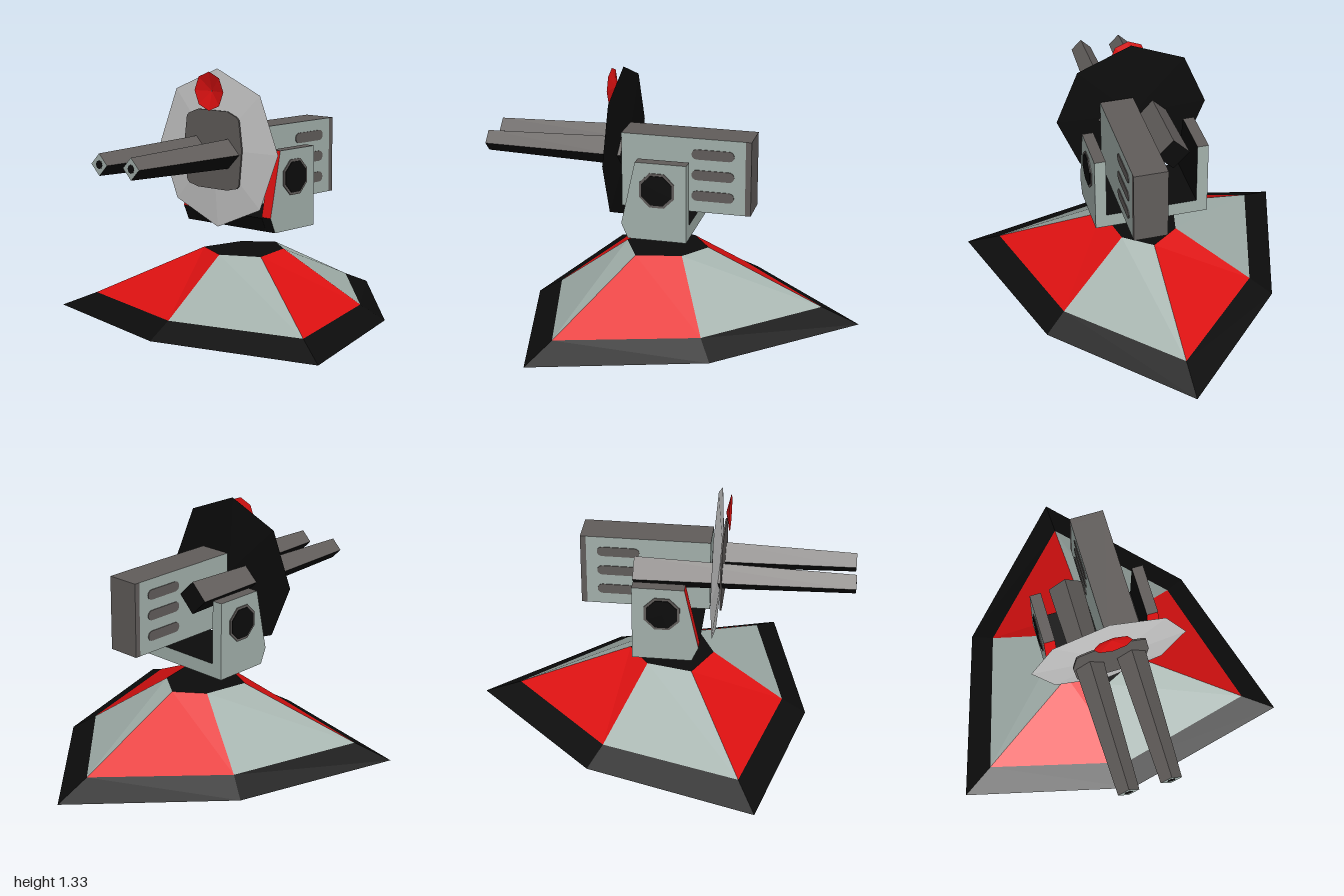
import * as THREE from 'three';

const mat = (name, color, flat = true) => {
  const m = new THREE.MeshStandardMaterial({ color, flatShading: flat, side: THREE.DoubleSide });
  m.name = name;
  return m;
};

export function createModel() {
  const red = mat('red paint', 0xe01111);
  const green = mat('grey green paint', 0xa3b1ac);
  const grey = mat('dark grey metal', 0x615d5b);
  const black = mat('black', 0x0c0c0c);
  const pale = mat('pale shield', 0xcccccc);
  const model = new THREE.Group();
  model.name = 'gunTurret';

  const group = (name) => {
    const g = new THREE.Group();
    g.name = name;
    model.add(g);
    return g;
  };
  const add = (parent, name, geometry, material) => {
    const m = new THREE.Mesh(geometry, material);
    m.name = name;
    parent.add(m);
    return m;
  };
  // Convex flat polygon, corners anticlockwise seen from its front
  const poly = (parent, name, pts, material) => {
    const v = [];
    for (let i = 1; i < pts.length - 1; i++) v.push(...pts[0], ...pts[i], ...pts[i + 1]);
    const g = new THREE.BufferGeometry();
    g.setAttribute('position', new THREE.Float32BufferAttribute(v, 3));
    g.computeVertexNormals();
    return add(parent, name, g, material);
  };
  // Prism along x: clockwise [z, y] profile, one colour for each edge and end
  const prism = (parent, name, profile, x0, x1, edges, end0, end1) => {
    const at = (x) => profile.map(([z, y]) => [x, y, z]);
    const a = at(x0), b = at(x1), n = profile.length;
    poly(parent, name + 'RightEnd', b, end1);
    poly(parent, name + 'LeftEnd', a.slice().reverse(), end0);
    for (let i = 0; i < n; i++) {
      const j = (i + 1) % n;
      poly(parent, name + 'Edge', [b[i], a[i], a[j], b[j]], edges[i]);
    }
  };

  // Six-sided base: black skirt, alternating panels, black cap
  const base = group('base');
  const ring = (y, half) => {
    const pts = half.map(([x, z]) => [x, y, z]);
    return [...pts, [-half[2][0], y, half[2][1]], [-half[1][0], y, half[1][1]]];
  };
  const outer = ring(0, [[0, -1], [0.63, -0.33], [0.9, 0.56], [0, 0.78]]);
  const inner = ring(0.08, [[0, -0.8], [0.52, -0.26], [0.73, 0.465], [0, 0.65]]);
  const upper = ring(0.36, [[0, -0.18], [0.15, -0.07], [0.2, 0.17], [0, 0.27]]);
  for (let i = 0; i < 6; i++) {
    const j = (i + 1) % 6;
    poly(base, 'skirt', [outer[i], inner[i], inner[j], outer[j]], black);
    poly(base, 'panel', [inner[i], upper[i], upper[j], inner[j]], i % 2 ? red : green);
  }
  poly(base, 'cap', upper.slice().reverse(), black);

  // U-shaped cradle
  const cradle = group('cradle');
  const arm = [[0.14, 0.92], [0.215, 0.58], [0.18, 0.5], [-0.13, 0.5], [-0.13, 0.92]];
  const armEdges = [red, black, green, green, grey];
  prism(cradle, 'leftArm', arm, 0.245, 0.305, armEdges, black, green);
  prism(cradle, 'rightArm', arm, -0.305, -0.245, armEdges, green, black);
  prism(cradle, 'crossbar', [[0.215, 0.575], [0.18, 0.5], [-0.13, 0.5], [-0.13, 0.575]],
    -0.245, 0.245, [black, green, green, black], black, black);
  for (const s of [-1, 1]) {
    [[0.1, 0.306, grey, 'pivotRing'], [0.086, 0.31, black, 'pivot']].forEach(([r, x, m, name]) => {
      const disc = new THREE.CylinderGeometry(r, r, 0.008, 8, 1, false, Math.PI / 8);
      disc.rotateZ(Math.PI / 2);
      add(cradle, name, disc, m).position.set(s * x, 0.775, 0.025);
    });
  }

  // Rear housing with three slots on each side
  const housing = group('housing');
  const boxSides = [[0.245, 1.03], [0.245, 0.63], [-0.41, 0.63], [-0.41, 1.03]];
  prism(housing, 'housing', boxSides, 0, 0.18, [green, grey, grey, grey], green, green);
  add(housing, 'rearCover', new THREE.BoxGeometry(0.18, 0.4, 0.03), grey).position.set(0.09, 0.83, -0.425);
  const slot = new THREE.Shape();
  slot.absarc(0.085, 0, 0.027, -Math.PI / 2, Math.PI / 2);
  slot.absarc(-0.085, 0, 0.027, Math.PI / 2, Math.PI * 1.5);
  const slotGeo = new THREE.ExtrudeGeometry(slot, { depth: 0.008, bevelEnabled: false, curveSegments: 4 });
  slotGeo.translate(0, 0, -0.004).rotateY(Math.PI / 2);
  for (const x of [0, 0.18])
    for (const y of [0.945, 0.833, 0.72])
      add(housing, 'slot', slotGeo, grey).position.set(x, y, -0.24);

  // Octagonal shield: shallow pale cone in front, black cone behind
  const shield = group('shield');
  const rim = [];
  for (let i = 0; i < 8; i++) {
    const a = i * Math.PI / 4;
    rim.push([0.41 * Math.cos(a), 0.92 + 0.41 * Math.sin(a), 0.28]);
  }
  for (let i = 0; i < 8; i++) {
    const j = (i + 1) % 8;
    poly(shield, 'shieldFront', [[0, 0.92, 0.314], rim[i], rim[j]], pale);
    poly(shield, 'shieldBack', [[0, 0.92, 0.257], rim[j], rim[i]], black);
  }
  const plate = new THREE.Shape([
    [-0.2, 0.93], [-0.18, 0.745], [-0.165, 0.73], [-0.1, 0.715], [0.1, 0.715], [0.165, 0.73], [0.18, 0.745],
    [0.2, 0.93], [0.18, 1.08], [0.165, 1.095], [0.1, 1.12], [-0.1, 1.12], [-0.165, 1.095], [-0.18, 1.08],
  ].map(([x, y]) => new THREE.Vector2(x, y)));
  const plateGeo = new THREE.ExtrudeGeometry(plate, { depth: 0.008, bevelEnabled: false });
  add(shield, 'gunPlate', plateGeo, grey).position.z = 0.31;
  add(shield, 'shieldRod', new THREE.BoxGeometry(0.02, 0.016, 0.07), black).position.set(0.12, 0.905, 0.23);

  // Hollow red lamp, dished towards the shield
  const lamp = new THREE.CylinderGeometry(0.1, 0.002, 0.022, 8, 1, true);
  lamp.rotateX(Math.PI / 2);
  add(shield, 'lamp', lamp, red).position.set(0, 1.218, 0.332);

  // Four-sided tapering barrels, grey above and black below
  const barrel = (name, x, back, r0) => {
    const g = group(name);
    g.position.set(x, 0.905, 0);
    const r1 = 0.055;
    const corners = (r, z) => [[r, 0, z], [0, r, z], [-r, 0, z], [0, -r, z]];
    const a = corners(r0, back), b = corners(r1, 1);
    for (let i = 0; i < 4; i++) {
      const j = (i + 1) % 4;
      poly(g, 'barrelSide', [a[i], a[j], b[j], b[i]], i < 2 ? grey : black);
    }
    poly(g, 'barrelRear', a.slice().reverse(), black);
    poly(g, 'muzzle', b, green);
    const bore = new THREE.CylinderGeometry(0.022, 0.022, 0.004, 8);
    bore.rotateX(Math.PI / 2);
    add(g, 'bore', bore, black).position.z = 0.999;
  };
  barrel('leftBarrel', 0.108, 0.25, 0.078);
  barrel('rightBarrel', -0.112, -0.14, 0.088);

  return model;
}
